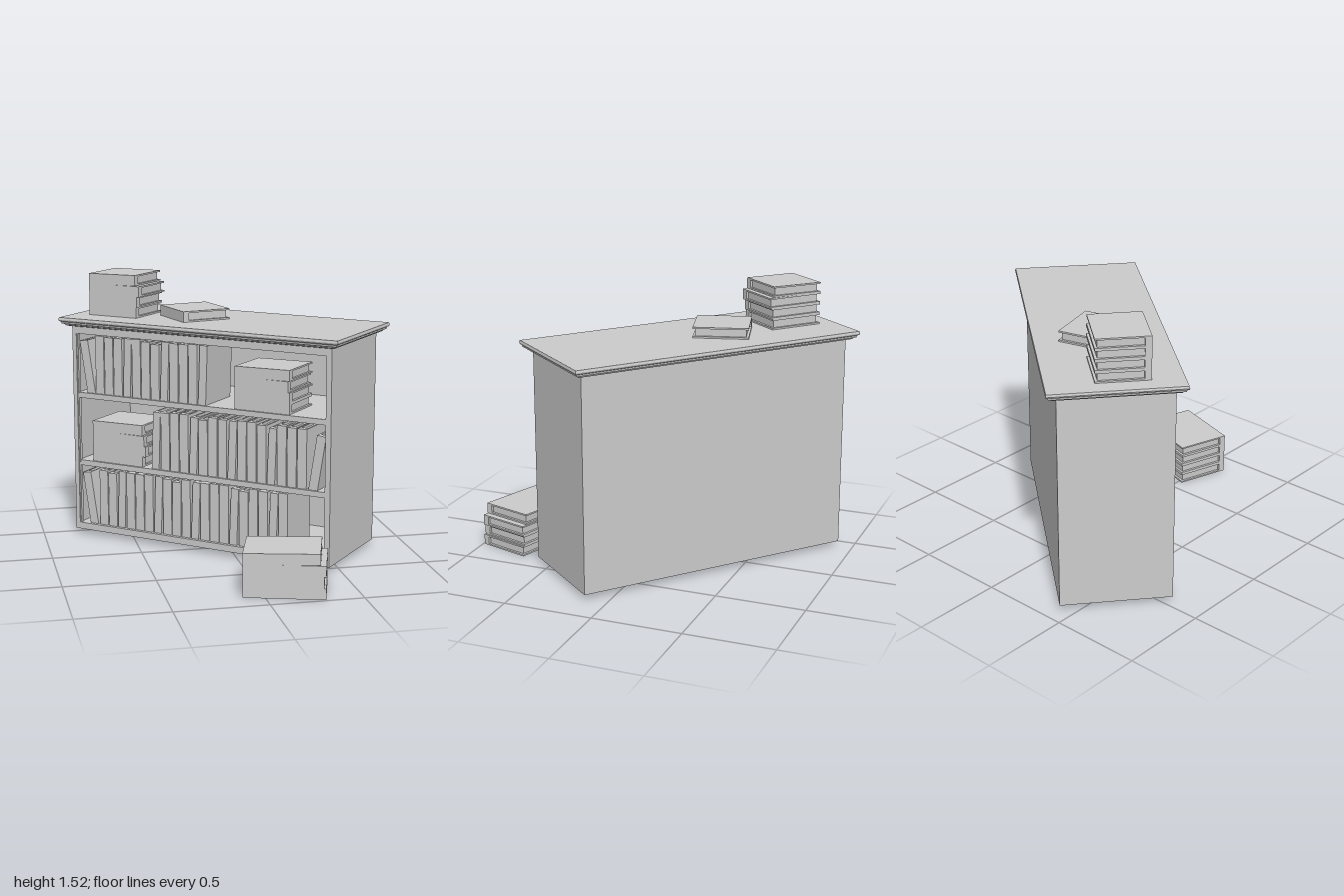
import * as THREE from 'three';

const material = new THREE.MeshStandardMaterial({ color: 0xcccccc, flatShading: true });
const W = 1.617, D = 0.6, BOARD = 0.026;   // cabinet width, depth, board thickness
const TURN = THREE.MathUtils.degToRad(-40);

function mesh(name, geometry) {
  const m = new THREE.Mesh(geometry, material);
  m.name = name;
  return m;
}

function board(parent, name, w, h, d, x, y, z) {
  const m = mesh(name, new THREE.BoxGeometry(w, h, d));
  m.position.set(x, y, z);
  parent.add(m);
}

// Book lying flat on y = 0: length along x, spine towards +z, pages recessed on the other sides
function makeBook(length, thick, depth) {
  const book = new THREE.Group();
  book.name = 'book';
  const cover = 0.009, spine = 0.035, inset = 0.014, h = depth / 2;
  const s = new THREE.Shape();
  [[-h, 0], [h, 0], [h, thick], [-h, thick], [-h, thick - cover],
    [h - spine, thick - cover], [h - spine, cover], [-h, cover]]
    .forEach(([x, y], i) => (i ? s.lineTo(x, y) : s.moveTo(x, y)));
  const geo = new THREE.ExtrudeGeometry(s, { depth: length, bevelEnabled: false });
  geo.translate(0, 0, -length / 2).rotateY(-Math.PI / 2);
  book.add(mesh('bookCover', geo));
  board(book, 'pages', length - 2 * inset, thick - 2 * cover, depth - spine - inset,
    0, thick / 2, (inset - spine) / 2);
  return book;
}

// Pile of lying books, aligned at the left end, top book slightly tilted
function makePile(name, lengths, depth, thick = 0.06) {
  const pile = new THREE.Group();
  pile.name = name;
  lengths.forEach((length, i) => {
    const b = makeBook(length, thick, depth);
    b.position.set((length - lengths[0]) / 2, i * thick, 0);
    if (i === lengths.length - 1) b.rotation.z = 0.015;
    pile.add(b);
  });
  return pile;
}

// Upright book whose pivot is its lower left (or lower right) corner
function uprightBook(height, thick, tilt, pivotRight) {
  const pivot = new THREE.Group();
  pivot.name = 'uprightBook';
  const b = makeBook(height, thick, 0.29);
  b.rotation.z = Math.PI / 2;
  b.position.set(pivotRight ? 0 : thick, height / 2, 0);
  pivot.add(b);
  pivot.rotation.z = tilt;
  return pivot;
}

// Row of upright books with varied heights; every fourth one leans a little
function makeRow(name, start, count, y, z, seed) {
  const row = new THREE.Group();
  row.name = name;
  const heights = [0.335, 0.325, 0.335, 0.33, 0.315, 0.335, 0.33];
  for (let i = 0; i < count; i++) {
    const leaning = (i + seed) % 4 === 3;
    const b = uprightBook(heights[(i * 3 + seed) % 7], leaning ? 0.047 : 0.055, leaning ? -0.035 : 0, false);
    b.position.set(start + i * 0.0605, y, z);
    row.add(b);
  }
  return row;
}

// Moulded top: four-sided lathe whose profile radius becomes an offset from the body
function makeCornice() {
  const profile = [[0.012, 1.228], [0.025, 1.232], [0.03, 1.24], [0.042, 1.243], [0.045, 1.254],
    [0.053, 1.258], [0.056, 1.266], [0.053, 1.279]];
  const pts = profile.map(([o, y]) => new THREE.Vector2(1 + o, y));
  const geo = new THREE.LatheGeometry(
    [new THREE.Vector2(0.001, 1.228), ...pts, new THREE.Vector2(0.001, 1.279)], 4, Math.PI / 4);
  const p = geo.attributes.position;
  for (let i = 0; i < p.count; i++) {
    const r = Math.hypot(p.getX(i), p.getZ(i));
    const k = r < 0.5 ? 0 : 1;
    p.setX(i, k * Math.sign(p.getX(i)) * (W / 2 + r - 1));
    p.setZ(i, k * Math.sign(p.getZ(i)) * (D / 2 + r - 1));
  }
  geo.computeVertexNormals();
  return mesh('cornice', geo);
}

function makeCabinet() {
  const cab = new THREE.Group();
  cab.name = 'bookcase';
  const low = 0.031, high = 1.232, inner = W - 2 * BOARD;
  // Carcass
  for (const side of [-1, 1]) {
    board(cab, 'sidePanel', BOARD, high - low, D, side * (W - BOARD) / 2, (high + low) / 2, 0);
    board(cab, 'innerTrim', 0.008, high - low, 0.02, side * (inner / 2 - 0.004), (high + low) / 2, D / 2 - 0.016);
  }
  board(cab, 'backPanel', inner, high - low, BOARD, 0, (high + low) / 2, (BOARD - D) / 2);
  board(cab, 'bottomBoard', inner, 0.038, D - BOARD, 0, 0.05, BOARD / 2);
  board(cab, 'topRail', inner, 0.047, D - BOARD, 0, 1.2085, BOARD / 2);
  // Shelves, set back slightly behind the frame
  for (const y of [0.429, 0.8275])
    board(cab, 'shelf', inner, 0.031, D - BOARD - 0.008, 0, y, BOARD / 2 - 0.004);
  cab.add(makeCornice());

  // Books on the three shelves
  const z = D / 2 - 0.02 - 0.145;
  const floors = [0.069, 0.4445, 0.843];
  cab.add(makeRow('lowerRow', -0.655, 20, floors[0], z, 1));
  cab.add(makeRow('middleRow', -0.303, 16, floors[1], z, 3));
  cab.add(makeRow('upperRow', -0.668, 12, floors[2], z, 0));
  // Books leaning on the side walls
  for (const [x, y, dir] of [[-0.668, floors[0], 1], [0.672, floors[1], -1], [-0.672, floors[2], 1]]) {
    const b = uprightBook(0.31, 0.053, 0.155 * dir, dir > 0);
    b.position.set(x, y, z);
    cab.add(b);
  }
  const middlePile = makePile('middlePile', [0.33, 0.35, 0.34, 0.33], 0.29);
  middlePile.position.set(-0.53, floors[1], z);
  const upperPile = makePile('upperPile', [0.33, 0.33, 0.32, 0.33], 0.29);
  upperPile.position.set(0.39, floors[2], z);
  const topPile = makePile('topPile', [0.31, 0.315, 0.33, 0.305], 0.285);
  topPile.position.set(-0.61, 1.279, 0.04);
  cab.add(middlePile, upperPile, topPile);
  return cab;
}

export function createModel() {
  const model = new THREE.Group();
  model.name = 'bookcaseWithBooks';
  const cabinet = makeCabinet();
  cabinet.rotation.y = TURN;
  cabinet.position.z = -0.168;
  model.add(cabinet);

  // Single book on the cabinet top
  const loose = makeBook(0.305, 0.06, 0.288);
  loose.name = 'looseBook';
  loose.rotation.y = THREE.MathUtils.degToRad(-75);
  loose.position.set(-0.132, 1.279, -0.3);
  model.add(loose);

  // Pile on the floor in front
  const floorPile = makePile('floorPile', [0.43, 0.42, 0.43, 0.4], 0.308);
  floorPile.rotation.y = THREE.MathUtils.degToRad(-17);
  floorPile.position.set(0.136, 0, 0.781);
  model.add(floorPile);
  return model;
}
